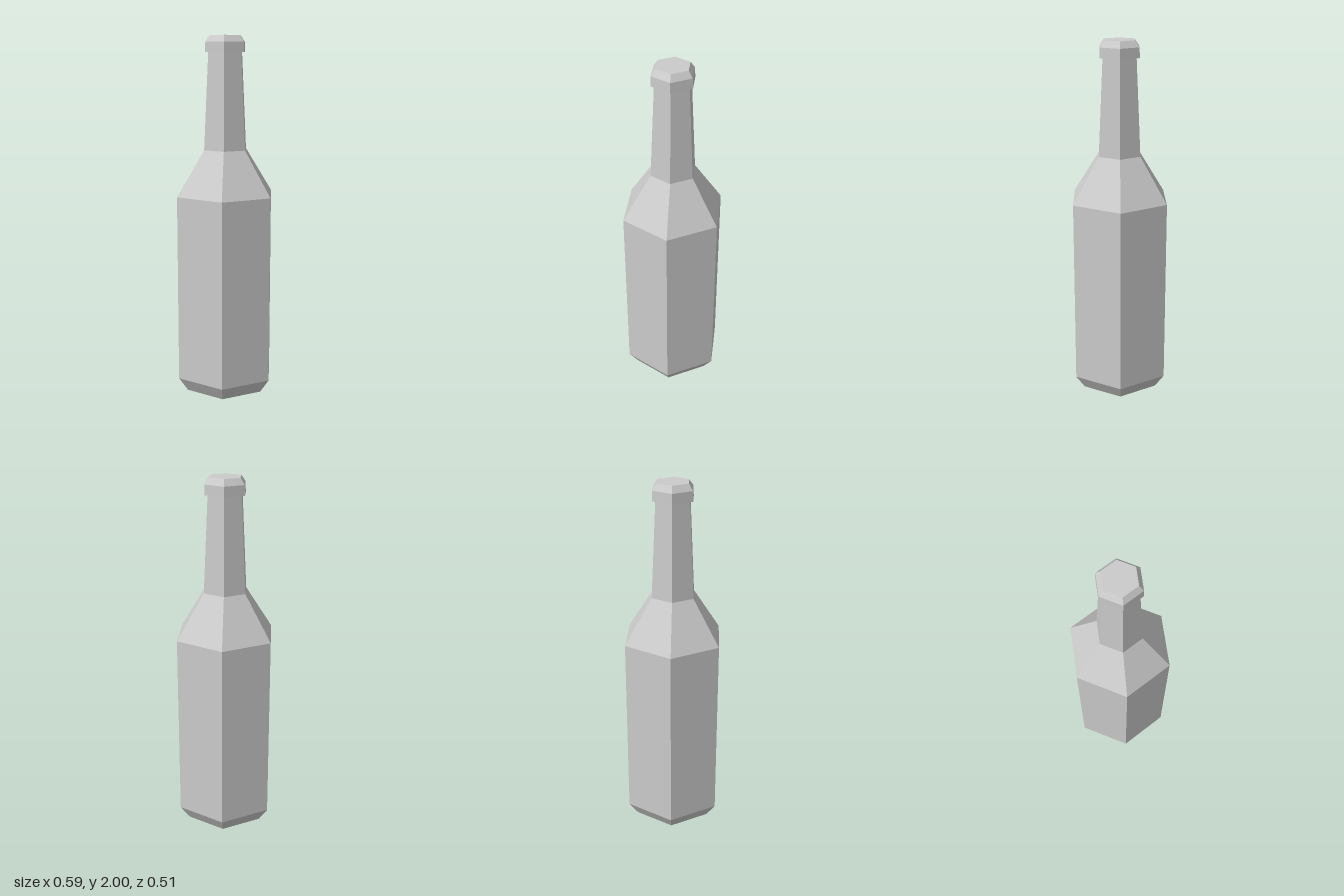
import * as THREE from 'three';

const SIDES = 6;

// Six-sided solid turned from [radius, height] pairs, with corners on the x axis
function turned(name, profile, material) {
  const points = profile.map(([r, y]) => new THREE.Vector2(r, y));
  const mesh = new THREE.Mesh(new THREE.LatheGeometry(points, SIDES, Math.PI / 2), material);
  mesh.name = name;
  return mesh;
}

export function createModel() {
  const group = new THREE.Group();
  group.name = 'bottle';
  const material = new THREE.MeshStandardMaterial({ color: 0xcccccc, flatShading: true });

  // Chamfered base, straight body, sloping shoulder and tapered neck
  group.add(turned('bottleBody', [
    [0, 0], [0.24, 0], [0.295, 0.08], [0.295, 1.13],
    [0.13, 1.38], [0.103, 1.91], [0, 1.91],
  ], material));

  // Overhanging cap with a bevelled top
  group.add(turned('cap', [
    [0, 1.91], [0.122, 1.91], [0.12, 1.965], [0.095, 2], [0, 2],
  ], material));

  return group;
}
